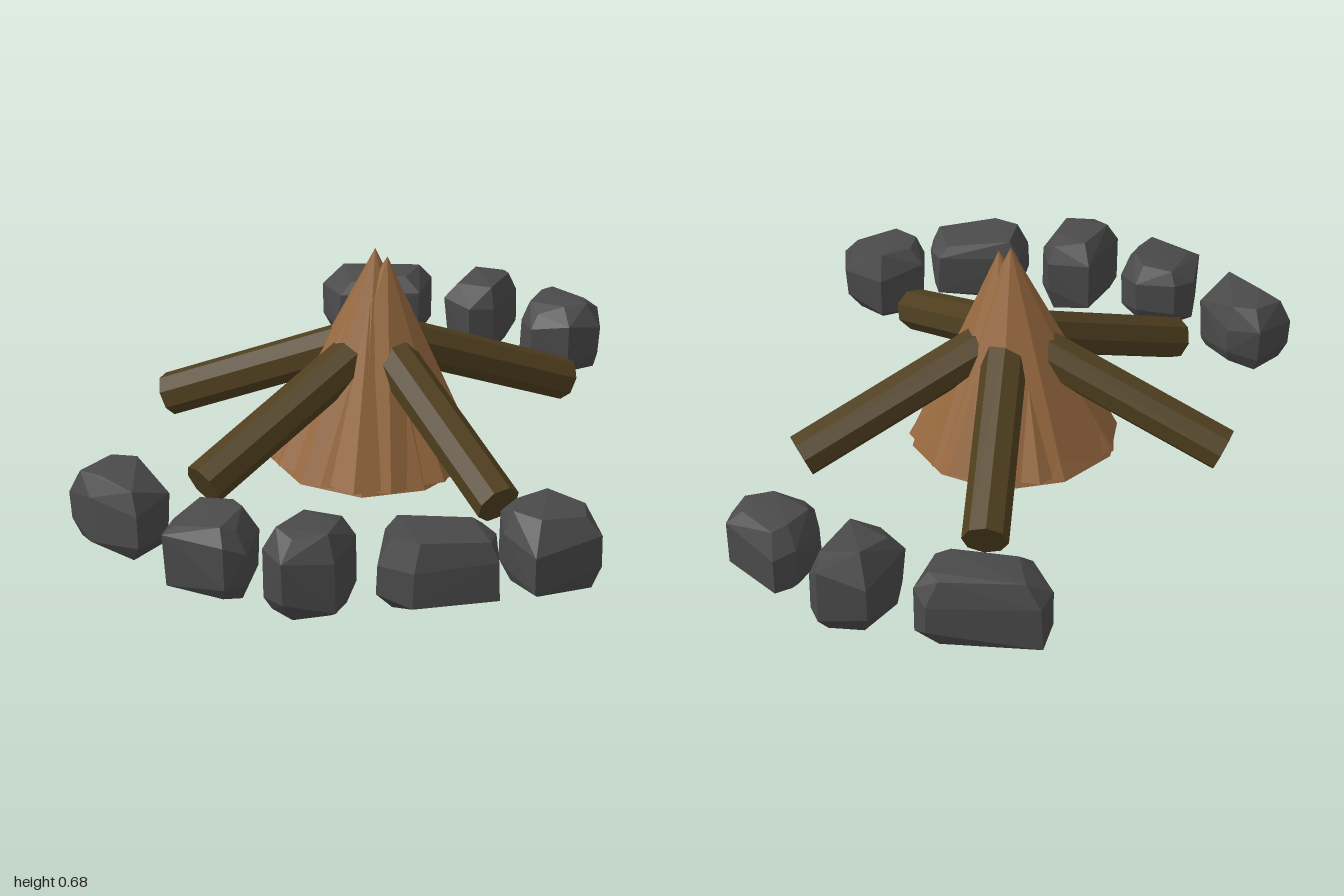
import * as THREE from 'three';
import { ConvexGeometry } from 'three/addons/geometries/ConvexGeometry.js';

const V = (x, y, z) => new THREE.Vector3(x, y, z);

// small seeded noise in the range -1..1
let seed = 11;
function noise() {
  seed = (seed * 16807) % 2147483647;
  return (seed / 2147483647) * 2 - 1;
}

export function createModel() {
  const group = new THREE.Group();
  group.name = 'campfire';

  const kindlingMat = new THREE.MeshStandardMaterial({ color: 0x96683f, flatShading: true });
  kindlingMat.name = 'kindling brown';
  const logMat = new THREE.MeshStandardMaterial({ color: 0x4f3f1f, flatShading: true });
  logMat.name = 'dark bark';
  const stoneMat = new THREE.MeshStandardMaterial({ color: 0x4a4a4a, flatShading: true });
  stoneMat.name = 'stone grey';

  function add(name, geometry, material) {
    const mesh = new THREE.Mesh(geometry, material);
    mesh.name = name;
    group.add(mesh);
    return mesh;
  }

  // Kindling: overlapping faceted tents with slightly different tips
  function tent(apex, radius, sides, phase, lift) {
    const points = [apex];
    for (let i = 0; i < sides; i++) {
      const a = phase + (i / sides) * Math.PI * 2;
      const r = radius + noise() * 0.008;
      const z = -0.04 + Math.cos(a) * r * 0.98;
      points.push(V(Math.sin(a) * r, 0.035 + lift - 0.06 * z, z));
    }
    add('kindling', new ConvexGeometry(points), kindlingMat);
  }
  tent(V(0.01, 0.68, -0.03), 0.315, 10, 0.1, 0);
  tent(V(0.035, 0.66, 0), 0.312, 9, 0.45, 0.008);
  tent(V(0.0, 0.64, -0.02), 0.318, 7, 0.3, 0.014);

  // Logs leaning on the kindling: outer end centres (x, z)
  const logEnds = [[0.665, -0.035], [0.32, -0.61], [-0.48, -0.465], [-0.615, 0.145], [0.08, 0.61]];
  for (const [x, z] of logEnds) {
    const outer = V(x, 0.13, z);
    const inner = V(0.02, 0.405, -0.03).lerp(outer, 0.06);
    const axis = inner.clone().sub(outer);
    const geometry = new THREE.CylinderGeometry(0.066, 0.066, axis.length(), 8);
    geometry.rotateY(Math.PI / 8);
    const log = add('log', geometry, logMat);
    log.position.copy(outer).add(inner).multiplyScalar(0.5);
    log.quaternion.setFromUnitVectors(V(0, 1, 0), axis.normalize());
  }

  // Stones: plan outlines (x, z pairs) with bottom and top heights
  const stones = [
    [0.02, 0.245, [0.31, -1.0, 0.59, -0.86, 0.6, -0.81, 0.5, -0.69, 0.25, -0.81, 0.26, -0.95]],
    [0.01, 0.26, [0.56, -0.64, 0.71, -0.75, 0.83, -0.68, 0.83, -0.63, 0.67, -0.5, 0.59, -0.52]],
    [0.02, 0.235, [0.83, -0.53, 0.9, -0.53, 0.98, -0.35, 0.94, -0.26, 0.81, -0.25, 0.72, -0.34, 0.73, -0.43]],
    [0.02, 0.235, [-0.84, 0, -0.76, 0.07, -0.75, 0.24, -0.88, 0.34, -0.96, 0.17, -0.98, 0.06]],
    [0.02, 0.24, [-0.71, 0.34, -0.6, 0.41, -0.59, 0.51, -0.68, 0.62, -0.75, 0.63, -0.87, 0.48, -0.79, 0.36]],
    [0.0, 0.26, [-0.5, 0.55, -0.39, 0.64, -0.4, 0.71, -0.51, 0.81, -0.65, 0.77, -0.66, 0.67]],
    [0.03, 0.24, [-0.31, 0.69, -0.06, 0.78, -0.06, 0.85, -0.1, 0.96, -0.34, 0.91, -0.41, 0.82]],
    [0.02, 0.25, [0, 0.75, 0.15, 0.75, 0.23, 0.87, 0.2, 0.97, -0.02, 0.99, -0.04, 0.85]],
  ];
  // each level: height fraction, outline scale, unevenness
  const levels = [[0, 0.74, 0.1], [0.2, 0.96, 0.05], [0.72, 0.97, 0.04], [0.97, 0.66, 0.14]];
  for (const [y0, y1, plan] of stones) {
    const n = plan.length / 2;
    let cx = 0, cz = 0;
    for (let i = 0; i < n; i++) {
      cx += plan[2 * i] / n;
      cz += plan[2 * i + 1] / n;
    }
    const points = [];
    for (const [t, scale, rough] of levels) {
      for (let i = 0; i < n; i++) {
        const s = Math.min(1, scale + noise() * rough);
        const h = THREE.MathUtils.clamp(t + noise() * 0.1, 0, 1);
        points.push(V(cx + (plan[2 * i] - cx) * s, y0 + (y1 - y0) * h, cz + (plan[2 * i + 1] - cz) * s));
      }
    }
    add('stone', new ConvexGeometry(points), stoneMat);
  }

  return group;
}
